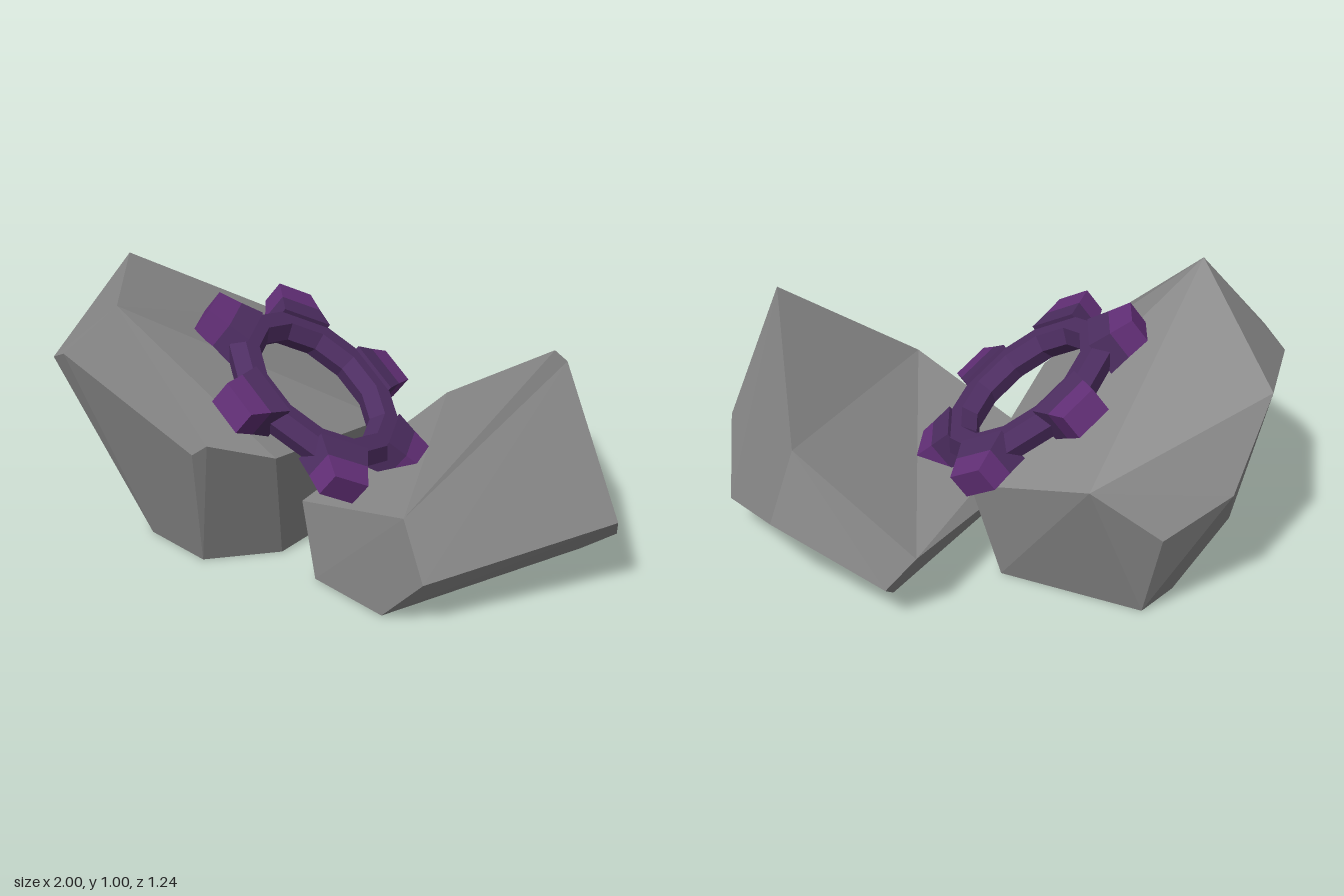
import * as THREE from 'three';
import { ConvexGeometry } from 'three/addons/geometries/ConvexGeometry.js';

const mat = (name, color) => {
  const m = new THREE.MeshStandardMaterial({ color, flatShading: true });
  m.name = name;
  return m;
};

const part = (name, geometry, material) => {
  const mesh = new THREE.Mesh(geometry, material);
  mesh.name = name;
  return mesh;
};

// Faceted stone from corner points and face loops, every face turned away from the centre
function facetGeometry(corners, loops, centre) {
  const pts = corners.map(p => new THREE.Vector3(...p));
  const out = [];
  for (const loop of loops) {
    for (let i = 1; i < loop.length - 1; i++) {
      const [a, b, c] = [pts[loop[0]], pts[loop[i]], pts[loop[i + 1]]];
      const n = b.clone().sub(a).cross(c.clone().sub(a));
      out.push(...(n.dot(a.clone().sub(centre)) < 0 ? [a, c, b] : [a, b, c]));
    }
  }
  const g = new THREE.BufferGeometry().setFromPoints(out);
  g.computeVertexNormals();
  return g;
}

// Four-sided tapering block lying along +x, from radius x0 to x1
function block(x0, x1, r0, r1) {
  const g = new THREE.CylinderGeometry(r1, r0, x1 - x0, 4).rotateY(Math.PI / 4);
  return g.scale(1, 1, 0.68).rotateZ(-Math.PI / 2).translate((x0 + x1) / 2, 0, 0);
}

export function createModel() {
  const root = new THREE.Group();
  root.name = 'gearOnRocks';
  const stone = mat('grey stone', 0x8d8d8d);
  const ringPurple = mat('dark purple', 0x4e2e62);
  const toothPurple = mat('bright purple', 0x643079);

  // Tall boulder
  const tall = [
    [-0.62, 1.0, 0.52], [-1, 0.87, -0.1], [-0.85, 0.77, 0.53], [-0.94, 0.71, 0.47],
    [-0.28, 0.57, 0.62], [-0.22, 0.62, 0.62], [-0.07, 0.52, 0.43], [0, 0.38, -0.22],
    [-0.92, 0.54, -0.24], [-0.72, 0.4, -0.37], [-0.48, 0.58, -0.43],
    [-0.85, 0.3, 0.3], [-0.86, 0.25, 0.05],
    [-0.66, 0, 0.33], [-0.4, 0, 0.4], [-0.18, 0, 0.22],
    [-0.1, 0, -0.18], [-0.63, 0, -0.24], [-0.7, 0, -0.08],
  ].map(p => new THREE.Vector3(...p));
  root.add(part('tallRock', new ConvexGeometry(tall), stone));

  // Wide boulder with a hollow in its sloping top
  const wide = [
    [0.79, 0.91, 0.01], [1, 0.35, 0], [0.91, 0.15, -0.24], [0.79, 0.07, -0.21],
    [0.44, 0.46, 0.48], [0.52, 0.23, 0.49], [0.33, 0.01, 0.42], [-0.04, 0.3, 0.31],
    [-0.09, 0.22, 0.15], [0.02, 0.01, 0.33], [0.51, 0.63, -0.56], [0.59, 0.34, -0.6],
    [0.17, 0.17, -0.62], [0.06, 0.32, -0.61], [0.62, 0.01, -0.07], [0.22, 0.01, -0.42],
  ];
  const wideFaces = [
    [0, 4, 5, 1], [1, 5, 6, 14, 3, 2], [0, 1, 2, 11, 10], [2, 3, 15, 12, 11],
    [3, 14, 15], [10, 11, 12, 13], [0, 10, 4], [10, 13, 4], [4, 13, 7],
    [4, 7, 9, 6, 5], [7, 8, 9], [7, 13, 8], [8, 13, 12, 15], [8, 15, 9],
    [6, 9, 15, 14],
  ];
  root.add(part('wideRock', facetGeometry(wide, wideFaces, new THREE.Vector3(0.45, 0.25, -0.05)), stone));

  // Gear leaning across the gap
  const gear = new THREE.Group();
  gear.name = 'gear';
  gear.add(part('gearRing', new THREE.TorusGeometry(0.293, 0.06, 6, 12), ringPurple));

  // Teeth: flared root in the ring, narrower tip
  for (let i = 0; i < 6; i++) {
    const tooth = new THREE.Group();
    tooth.name = 'gearTooth';
    tooth.rotation.z = THREE.MathUtils.degToRad(15 + 60 * i);
    tooth.add(
      part('toothRoot', block(0.3, 0.38, 0.14, 0.118), ringPurple),
      part('toothTip', block(0.38, 0.465, 0.118, 0.098), toothPurple),
    );
    gear.add(tooth);
  }

  const normal = new THREE.Vector3(0.71, 1, -0.18).normalize();
  const across = new THREE.Vector3(1, -0.71, 0).normalize();
  const along = normal.clone().cross(across).normalize();
  gear.quaternion.setFromRotationMatrix(new THREE.Matrix4().makeBasis(across, along, normal));
  gear.position.set(-0.115, 0.61, 0.085);
  root.add(gear);

  return root;
}
